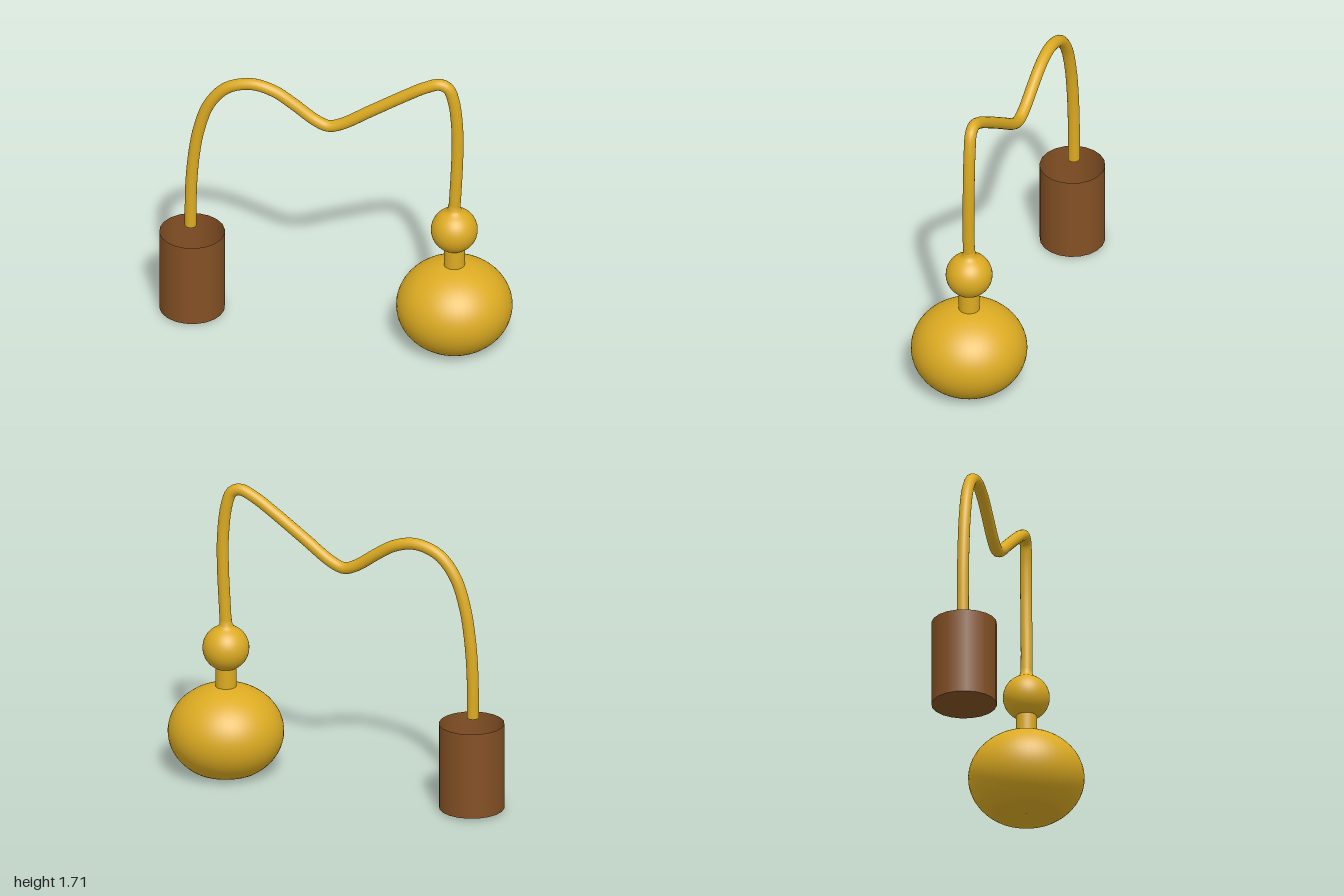
import * as THREE from 'three';

const v2 = (pts) => pts.map(([x, y]) => new THREE.Vector2(x, y));

export function createModel() {
  const gold = new THREE.MeshStandardMaterial({ color: 0xdcab22, side: THREE.DoubleSide });
  gold.name = 'gold';
  const brown = new THREE.MeshStandardMaterial({ color: 0x835024, side: THREE.DoubleSide });
  brown.name = 'brown';

  const model = new THREE.Group();
  const add = (name, geometry, material, x = 0, y = 0) => {
    const mesh = new THREE.Mesh(geometry, material);
    mesh.name = name;
    mesh.position.set(x, y, 0);
    model.add(mesh);
    return mesh;
  };
  const bulbX = 0.672, cupX = -0.818;

  // Open cup: thin wall and a slightly bulging floor
  add('cupWall', new THREE.CylinderGeometry(0.182, 0.182, 0.498, 20, 1, true), brown, cupX, 0.261);
  add('cupFloor', new THREE.LatheGeometry(v2([[0, 0], [0.1, 0.003], [0.182, 0.012]]), 20), brown, cupX);

  // Large squashed bulb, flat underneath
  const bulb = [];
  for (let i = 0; i <= 28; i++) {
    const a = THREE.MathUtils.lerp(-0.96, Math.PI / 2 - 0.1, i / 28);
    bulb.push([0.323 * Math.cos(a), 0.237 + 0.27 * Math.sin(a)]);
  }
  bulb[0][1] = 0.016;
  add('bulb', new THREE.LatheGeometry(v2([[0.004, 0.018], [0.15, 0.015], ...bulb, [0, 0.506]]), 48), gold, bulbX);

  // Neck between bulb and ball
  add('neck', new THREE.CylinderGeometry(0.058, 0.058, 0.14, 32), gold, bulbX, 0.55);

  // Small ball flaring up into the stem
  const ball = [[0.001, 0.606], [0.05, 0.606]];
  for (let i = 0; i <= 20; i++) {
    const a = THREE.MathUtils.lerp(-1.15, 1.08, i / 20);
    ball.push([0.13 * Math.cos(a), 0.73 + 0.13 * Math.sin(a)]);
  }
  ball.push([0.046, 0.855], [0.036, 0.87], [0.033, 0.895]);
  add('ball', new THREE.LatheGeometry(v2(ball), 40), gold, bulbX);

  // Long bent tube from above the cup to the ball
  const path = [
    [-0.828, 0.545, -0.005], [-0.825, 0.8, -0.005], [-0.81, 1.0, -0.005], [-0.78, 1.185, -0.005],
    [-0.72, 1.36, -0.005], [-0.62, 1.477, -0.005], [-0.48, 1.52, -0.005], [-0.35, 1.49, -0.005],
    [-0.24, 1.422, -0.004], [-0.12, 1.338, -0.002], [-0.045, 1.31, 0], [0.03, 1.334, 0.001],
    [0.2, 1.447, 0.005], [0.4, 1.58, 0.009], [0.5, 1.641, 0.01], [0.59, 1.676, 0.008],
    [0.638, 1.655, 0.004], [0.668, 1.57, -0.002], [0.688, 1.38, -0.005], [0.688, 1.2, -0.004],
    [0.68, 1.0, 0], [0.672, 0.86, 0],
  ].map((p) => new THREE.Vector3(...p));
  add('stem', new THREE.TubeGeometry(new THREE.CatmullRomCurve3(path), 140, 0.033, 20), gold);

  return model;
}
